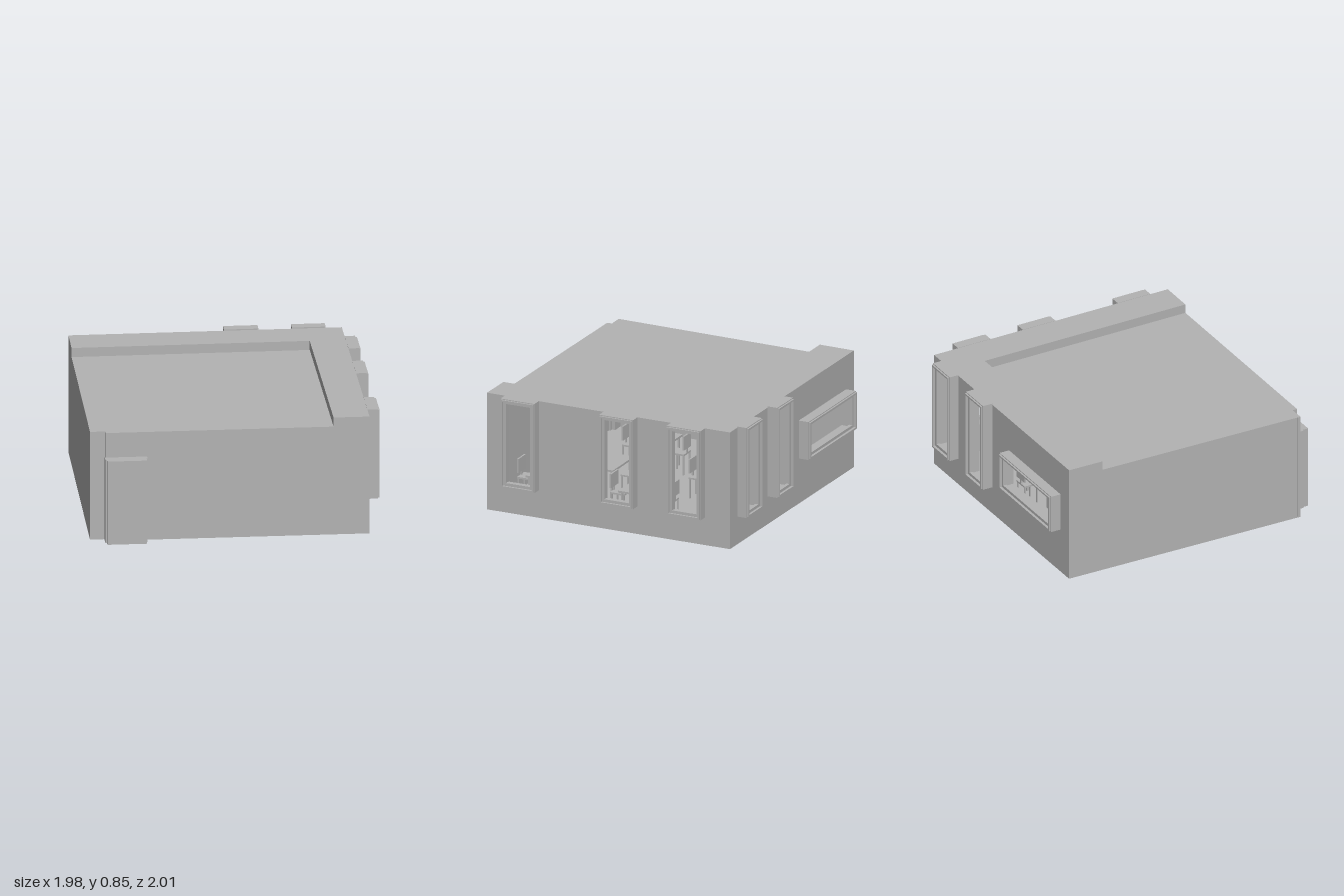
import * as THREE from 'three';

const plaster = new THREE.MeshStandardMaterial({ color: 0xb3b3b3 });
plaster.name = 'grey plaster';

function add(parent, name, geometry, x = 0, y = 0, z = 0) {
  const mesh = new THREE.Mesh(geometry, plaster);
  mesh.name = name;
  mesh.position.set(x, y, z);
  parent.add(mesh);
  return mesh;
}

const box = (w, h, d) => new THREE.BoxGeometry(w, h, d);

const extrude = (shape, depth) =>
  new THREE.ExtrudeGeometry(shape, { depth, bevelEnabled: false });

const polygon = (points) => new THREE.Shape(points.map(([x, y]) => new THREE.Vector2(x, y)));

const rectPoints = (x0, y0, x1, y1) => [[x0, y0], [x1, y0], [x1, y1], [x0, y1]];

// Horizontal slab from plan points [x, z]
function slab(parent, name, plan, y0, y1) {
  const geometry = extrude(polygon(plan.map(([x, z]) => [x, -z])), y1 - y0);
  geometry.rotateX(-Math.PI / 2);
  return add(parent, name, geometry, 0, y0, 0);
}

// Rectangular ring from an outer rectangle and an inset
function ring([x0, y0, x1, y1], inset, width, depth) {
  const shape = polygon(rectPoints(x0 + inset, y0 + inset, x1 - inset, y1 - inset));
  const i = inset + width;
  shape.holes.push(polygon(rectPoints(x0 + i, y0 + i, x1 - i, y1 - i)));
  return extrude(shape, depth);
}

// Projecting window box: deep sleeve, recessed sash and a slim front trim
function addWindow(parent, rect, depth) {
  const group = new THREE.Group();
  group.name = 'projectingWindow';
  add(group, 'windowSleeve', ring(rect, 0, 0.016, depth - 0.012), 0, 0, 0);
  add(group, 'windowTrim', ring(rect, 0.006, 0.012, 0.012), 0, 0, depth - 0.012);
  add(group, 'windowSash', ring(rect, 0.016, 0.02, 0.025), 0, 0, depth - 0.045);
  parent.add(group);
}

// Wall from plan point a to b; windows are {rect, depth} in wall coordinates.
// Going round with the outside on the right-hand side, local z points outward.
function addWall(parent, name, a, b, profile, windows = []) {
  const dx = b[0] - a[0], dz = b[1] - a[1], length = Math.hypot(dx, dz);
  const group = new THREE.Group();
  group.name = name;
  group.position.set(a[0], 0, a[1]);
  group.rotation.y = Math.atan2(-dz, dx);
  const shape = polygon([[0, 0.01], [length, 0.01], ...profile(length)]);
  for (const { rect: [x0, y0, x1, y1] } of windows) {
    shape.holes.push(polygon(rectPoints(x0 + 0.016, y0 + 0.016, x1 - 0.016, y1 - 0.022)));
  }
  add(group, 'wallPanel', extrude(shape, 0.025), 0, 0, -0.025);
  for (const w of windows) addWindow(group, w.rect, w.depth);
  parent.add(group);
  return group;
}

function addChair(parent, x, z, turn) {
  const chair = new THREE.Group();
  chair.name = 'chair';
  add(chair, 'chairSeat', box(0.11, 0.012, 0.11), 0, 0.145, 0);
  add(chair, 'chairBack', box(0.11, 0.1, 0.012), 0, 0.23, 0.05);
  for (const sx of [-1, 1]) for (const sz of [-1, 1]) {
    add(chair, 'chairLeg', box(0.01, 0.14, 0.01), sx * 0.048, 0.07, sz * 0.048);
  }
  add(chair, 'chairPost', box(0.012, 0.05, 0.01), 0, 0.165, 0.05);
  chair.position.set(x, 0.01, z);
  chair.rotation.y = turn;
  parent.add(chair);
}

function addTable(parent, x, z) {
  const table = new THREE.Group();
  table.name = 'tableAndChairs';
  add(table, 'tableTop', box(0.32, 0.014, 0.24), 0, 0.215, 0);
  for (const sx of [-1, 1]) for (const sz of [-1, 1]) {
    add(table, 'tableLeg', box(0.014, 0.21, 0.014), sx * 0.14, 0.105, sz * 0.1);
  }
  addChair(table, 0, 0.18, 0);
  addChair(table, 0, -0.18, Math.PI);
  table.position.set(x, 0.01, z);
  parent.add(table);
}

export function createModel() {
  const model = new THREE.Group();
  model.name = 'roomBuilding';

  // Plan corners [x, z]
  const LOW = 0.775, HIGH = 0.84;
  const backLeft = [-0.957, -0.92], backRight = [0.905, -0.895];
  const frontRight = [0.905, 0.94], doorCorner = [-0.89, 0.91];
  const notch = [-0.89, 0.875], frontLeft = [-0.995, 0.875];
  const stepLeft = [-0.962, -0.66], stepIn = [0.66, -0.64], stepFront = [0.66, 0.936];

  // Floor, with a thin plinth line below the walls
  slab(model, 'floor', [backLeft, frontLeft, notch, doorCorner, frontRight, backRight], 0, 0.012);

  // Low main roof and the raised L-shaped strip above the windows
  slab(model, 'mainRoof', [stepLeft, frontLeft, notch, doorCorner, stepFront, stepIn], LOW - 0.025, LOW);
  slab(model, 'raisedRoof',
    [backLeft, stepLeft, stepIn, stepFront, frontRight, backRight], HIGH - 0.02, HIGH);
  slab(model, 'backRoofStep',
    [[-0.961, -0.67], stepLeft, stepIn, [0.66, -0.65]], LOW - 0.025, HIGH - 0.001);
  slab(model, 'sideRoofStep',
    [[0.66, -0.65], [0.66, 0.936], [0.67, 0.936], [0.67, -0.65]], LOW - 0.025, HIGH - 0.001);

  // Walls
  const flat = (h) => (l) => [[l, h], [0, h]];
  const front = addWall(model, 'frontWall', doorCorner, frontRight,
    (l) => [[l, HIGH], [1.55, HIGH], [1.55, LOW], [0, LOW]]);
  addWall(model, 'rightWall', frontRight, backRight, flat(HIGH),
    [0.675, -0.07, -0.58].map((z) => ({
      rect: [0.94 - z - 0.128, 0.2, 0.94 - z + 0.128, 0.842], depth: 0.083,
    })));
  addWall(model, 'backWall', backRight, backLeft, flat(HIGH), [
    { rect: [0.11, 0.2, 0.34, 0.848], depth: 0.083 },
    { rect: [0.568, 0.2, 0.803, 0.848], depth: 0.085 },
    { rect: [1.035, 0.325, 1.745, 0.598], depth: 0.086 },
  ]);
  addWall(model, 'leftWall', backLeft, frontLeft,
    (l) => [[l, LOW], [0.26, LOW], [0.26, HIGH], [0, HIGH]]);
  addWall(model, 'frontNotchWall', frontLeft, notch, flat(LOW));
  addWall(model, 'notchReturnWall', notch, doorCorner, flat(LOW));

  // Projecting door: surround against the wall and the door leaf before it
  const door = new THREE.Group();
  door.name = 'door';
  add(door, 'doorSurround', box(0.288, 0.598, 0.05), 0.136, 0.3, 0.02);
  add(door, 'doorLeaf', box(0.27, 0.598, 0.045), 0.138, 0.301, 0.065);
  front.add(door);

  // Furniture seen through the windows
  for (const [x, z] of [[-0.5, -0.45], [0.1, -0.45], [0.6, -0.1], [-0.3, 0.25], [0.25, 0.35], [0.6, 0.6]]) {
    addTable(model, x, z);
  }
  return model;
}
